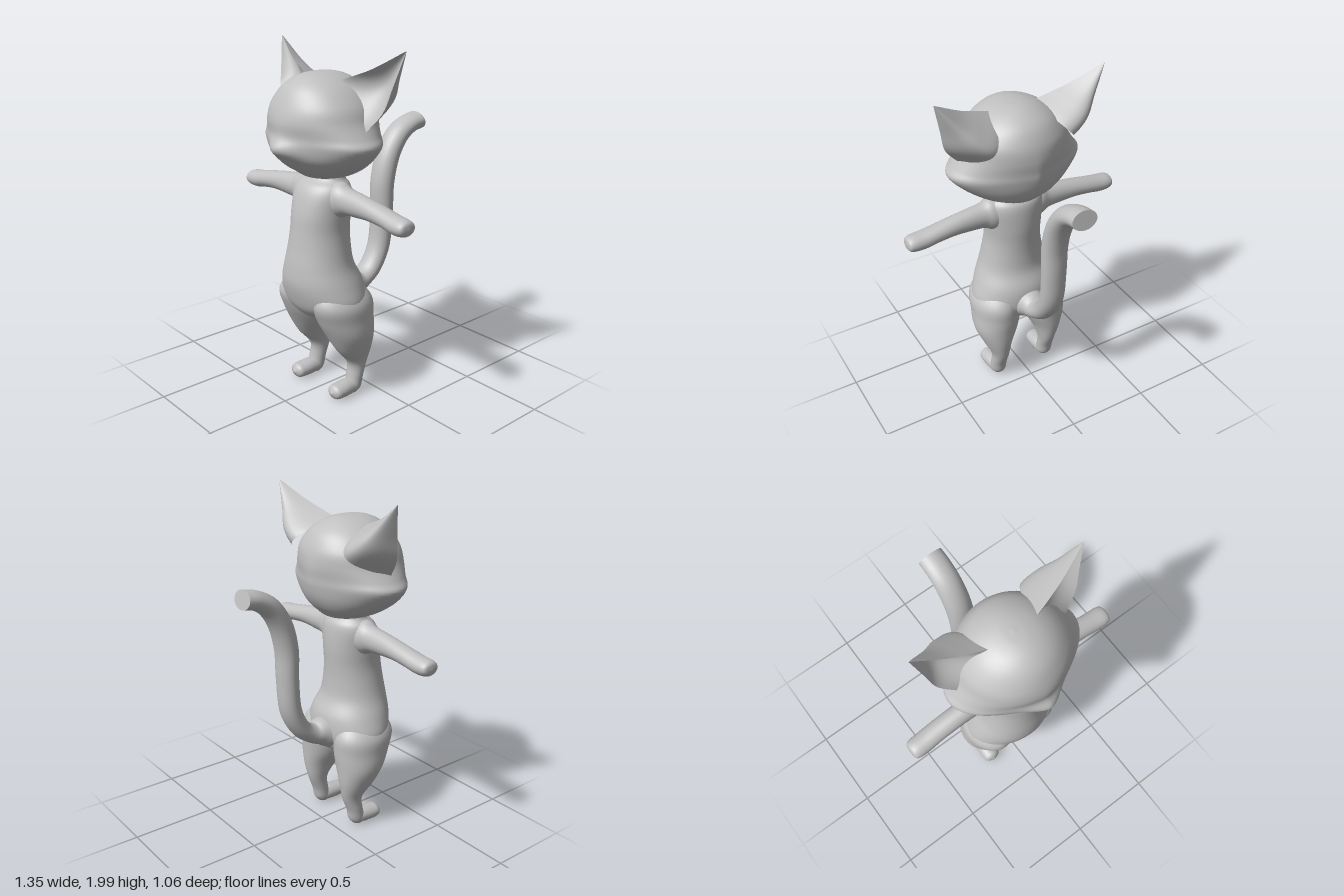
import * as THREE from 'three';
import { ParametricGeometry } from 'three/addons/geometries/ParametricGeometry.js';

const X = new THREE.Vector3(1, 0, 0), Y = new THREE.Vector3(0, 1, 0), Z = new THREE.Vector3(0, 0, 1);

// Smooth skin over rows [x, y, z, radiusU, radiusV, pinch]; pinch sharpens the ring's sides along U.
// Without a fixed axis, the rings follow the path.
function loft(rows, U, axis, { sides = 32, steps = 5, warp } = {}) {
  const centres = new THREE.CatmullRomCurve3(rows.map(r => new THREE.Vector3(r[0], r[1], r[2])), false, 'catmullrom');
  const radii = new THREE.CatmullRomCurve3(rows.map(r => new THREE.Vector3(r[3], r[4], r[5] || 0)), false, 'catmullrom');
  const n = (rows.length - 1) * steps, pos = [], idx = [], p = new THREE.Vector3();
  for (let i = 0; i <= n; i++) {
    const c = centres.getPoint(i / n), r = radii.getPoint(i / n);
    const V = (axis || centres.getTangent(i / n)).clone().cross(U).normalize();
    for (let j = 0; j < sides; j++) {
      const t = j / sides * Math.PI * 2, cos = Math.cos(t);
      p.copy(c).addScaledVector(U, Math.max(r.x, 0.001) * cos * Math.abs(cos) ** Math.max(r.z, 0))
        .addScaledVector(V, Math.max(r.y, 0.001) * Math.sin(t));
      if (warp) warp(p);
      pos.push(p.x, p.y, p.z);
      if (i < n) {
        const a = i * sides + j, b = i * sides + (j + 1) % sides;
        idx.push(a, b, a + sides, b, b + sides, a + sides);
      }
    }
  }
  // Flat end caps with their own corners
  for (const end of [0, n]) {
    const start = pos.length / 3;
    for (let j = 0; j < sides; j++) pos.push(...pos.slice((end * sides + j) * 3, (end * sides + j) * 3 + 3));
    for (let j = 1; j < sides - 1; j++) {
      idx.push(start, ...(end ? [start + j, start + j + 1] : [start + j + 1, start + j]));
    }
  }
  const g = new THREE.BufferGeometry();
  g.setAttribute('position', new THREE.Float32BufferAttribute(pos, 3));
  g.setIndex(idx);
  g.computeVertexNormals();
  return g;
}

// One sheet of an ear: hollow front or bulging back, between the inner and outer edges
function earSheet(side, front) {
  const curve = pts => new THREE.CatmullRomCurve3(pts.map(p => new THREE.Vector3(...p)), false, 'catmullrom');
  const inner = curve([[0.12, 1.82, 0.2], [0.22, 1.855, 0.175], [0.34, 1.905, 0.14], [0.505, 2, 0.08]]);
  const outer = curve([[0.34, 1.58, 0.2], [0.425, 1.69, 0.16], [0.46, 1.82, 0.125], [0.505, 2, 0.08]]);
  const g = new ParametricGeometry((u, v, target) => {
    if (side * (front ? 1 : -1) < 0) u = 1 - u;
    const t = v * 0.995;
    target.copy(inner.getPoint(t)).lerp(outer.getPoint(t), u);
    const bulge = Math.sin(Math.PI * u);
    target.z -= bulge * (front ? 0.07 * Math.sin(Math.PI * t) : 0.23 * (1 - t ** 1.5));
    target.x *= side;
  }, 16, 20);
  g.computeVertexNormals();
  return g;
}

export function createModel() {
  const model = new THREE.Group();
  const grey = new THREE.MeshStandardMaterial({ color: 0xc0c0c0 });
  grey.name = 'plain grey';
  const add = (name, geometry) => {
    const mesh = new THREE.Mesh(geometry, grey);
    mesh.name = name;
    model.add(mesh);
  };

  // Head: wide pointed cheeks and a small raised muzzle
  add('head', loft([
    [0, 1.285, 0.18, 0.02, 0.02], [0, 1.3, 0.175, 0.12, 0.125], [0, 1.33, 0.18, 0.2, 0.17],
    [0, 1.37, 0.19, 0.27, 0.22, 0.1], [0, 1.43, 0.2, 0.345, 0.265, 0.3], [0, 1.5, 0.2, 0.4, 0.285, 0.5],
    [0, 1.55, 0.2, 0.37, 0.288, 0.4], [0, 1.62, 0.2, 0.325, 0.29, 0.15], [0, 1.7, 0.195, 0.29, 0.27],
    [0, 1.78, 0.195, 0.22, 0.225], [0, 1.83, 0.2, 0.145, 0.16], [0, 1.855, 0.2, 0.07, 0.09], [0, 1.862, 0.2, 0.005, 0.005],
  ], X, Y, {
    sides: 64, warp: p => {
      if (p.z > 0.2) p.z += 0.05 * Math.exp(-((p.x / 0.11) ** 2) - ((p.y - 1.48) / 0.05) ** 2);
    },
  }));

  // Body: from the rounded crotch up to the neck
  add('body', loft([
    [0, 0.465, 0.17, 0.02, 0.08], [0, 0.49, 0.175, 0.13, 0.15], [0, 0.54, 0.19, 0.235, 0.185],
    [0, 0.6, 0.198, 0.28, 0.205], [0, 0.7, 0.215, 0.25, 0.212], [0, 0.8, 0.235, 0.207, 0.187],
    [0, 0.9, 0.233, 0.182, 0.173], [0, 1, 0.226, 0.167, 0.166], [0, 1.1, 0.217, 0.17, 0.162],
    [0, 1.2, 0.205, 0.178, 0.146], [0, 1.255, 0.195, 0.165, 0.125], [0, 1.29, 0.185, 0.13, 0.09], [0, 1.33, 0.185, 0.12, 0.085],
  ], X, Y, { sides: 48 }));

  // Tail: sweeps up behind the body and ends flat
  add('tail', loft([
    [0, 0.59, 0.06, 0.12, 0.11], [0, 0.6, -0.01, 0.09, 0.085], [0, 0.61, -0.08, 0.075, 0.058],
    [0, 0.67, -0.16, 0.073, 0.056], [0, 0.8, -0.225, 0.073, 0.06], [0, 1, -0.243, 0.075, 0.06],
    [0, 1.17, -0.247, 0.077, 0.064], [0, 1.32, -0.285, 0.077, 0.064], [0, 1.43, -0.355, 0.076, 0.06],
    [0, 1.485, -0.44, 0.075, 0.054], [0, 1.503, -0.52, 0.074, 0.053],
  ], X, null, { sides: 24 }));

  for (const s of [1, -1]) {
    const side = s > 0 ? 'left' : 'right';

    add(side + 'EarFront', earSheet(s, true));
    add(side + 'EarBack', earSheet(s, false));

    // Arm: flares into the shoulder, ends in a rounded paw
    add(side + 'Arm', loft([
      [0.08, 1.18, 0.2, 0.09, 0.1], [0.16, 1.185, 0.2, 0.08, 0.098], [0.21, 1.187, 0.2, 0.066, 0.076],
      [0.3, 1.185, 0.2, 0.06, 0.066], [0.4, 1.18, 0.2, 0.059, 0.056], [0.5, 1.167, 0.2, 0.059, 0.051],
      [0.58, 1.153, 0.203, 0.06, 0.051], [0.64, 1.15, 0.205, 0.058, 0.046], [0.668, 1.15, 0.205, 0.045, 0.033],
      [0.676, 1.15, 0.205, 0.004, 0.004],
    ].map(([x, ...rest]) => [s * x, ...rest]), Z, X.clone().multiplyScalar(s), { sides: 24 }));

    // Leg: full thigh narrowing to a thin ankle
    add(side + 'Leg', loft([
      [0.17, 0.012, 0.14, 0.03, 0.03], [0.17, 0.045, 0.135, 0.048, 0.052], [0.17, 0.11, 0.118, 0.05, 0.05],
      [0.168, 0.2, 0.1, 0.054, 0.066], [0.174, 0.3, 0.13, 0.09, 0.115], [0.166, 0.4, 0.155, 0.133, 0.147],
      [0.153, 0.5, 0.177, 0.145, 0.175], [0.15, 0.6, 0.195, 0.138, 0.187], [0.12, 0.7, 0.21, 0.09, 0.13],
    ].map(([x, ...rest]) => [s * x, ...rest]), X, Y));

    // Foot: short rounded paw pointing forward
    add(side + 'Foot', loft([
      [0.17, 0.05, 0.09, 0.01, 0.01], [0.17, 0.05, 0.11, 0.042, 0.036], [0.17, 0.052, 0.17, 0.052, 0.047],
      [0.172, 0.05, 0.24, 0.055, 0.045], [0.172, 0.05, 0.28, 0.047, 0.038], [0.172, 0.05, 0.302, 0.005, 0.005],
    ].map(([x, ...rest]) => [s * x, ...rest]), X, Z, { sides: 24 }));
  }
  return model;
}
